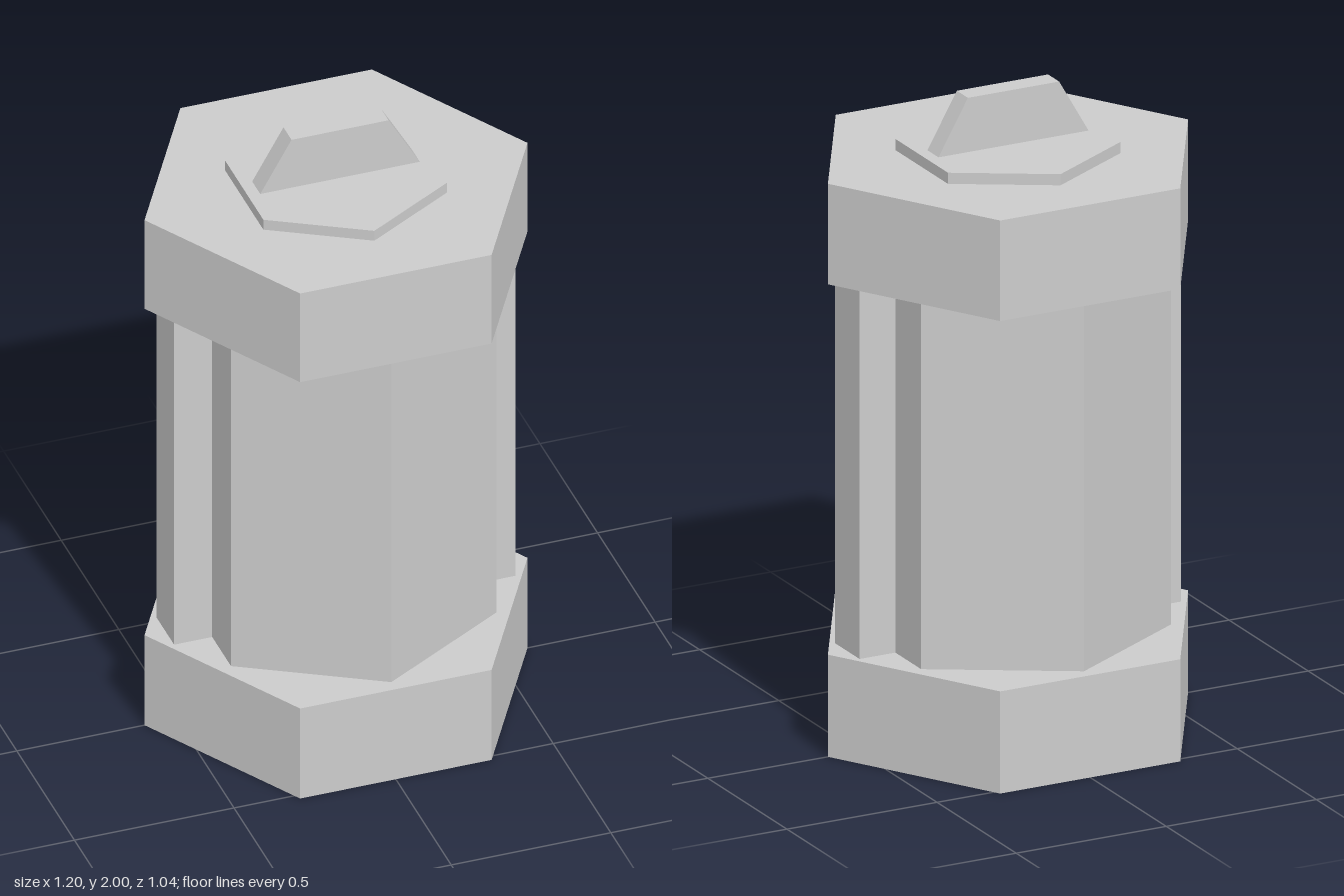
import * as THREE from 'three';

export function createModel() {
  const model = new THREE.Group();
  const material = new THREE.MeshStandardMaterial({ color: 0xcccccc, flatShading: true });

  const add = (name, geometry, x = 0, y = 0, z = 0) => {
    const mesh = new THREE.Mesh(geometry, material);
    mesh.name = name;
    mesh.position.set(x, y, z);
    model.add(mesh);
    return mesh;
  };

  // Hexagonal prism between two heights, with a corner facing +z unless turned
  const hexPrism = (name, radius, y0, y1, turn = 0) => {
    const geometry = new THREE.CylinderGeometry(radius, radius, y1 - y0, 6);
    add(name, geometry, 0, (y0 + y1) / 2).rotation.y = turn;
  };

  // End caps, corners on the x axis
  hexPrism('bottomCap', 0.6, 0, 0.32, Math.PI / 6);
  hexPrism('topCap', 0.6, 1.48, 1.795, Math.PI / 6);

  // Canister body and the raised plate on the lid
  hexPrism('body', 0.48, 0.32, 1.48);
  hexPrism('lidPlate', 0.332, 1.795, 1.83);

  // Vertical ribs on the two side faces
  for (const [name, side] of [['leftRib', 1], ['rightRib', -1]]) {
    add(name, new THREE.BoxGeometry(0.135, 1.16, 0.154), side * 0.4675, 0.9, 0);
  }

  // Tapered grip plate on top
  const grip = new THREE.Shape([
    new THREE.Vector2(-0.25, 1.83),
    new THREE.Vector2(0.25, 1.83),
    new THREE.Vector2(0.152, 2),
    new THREE.Vector2(-0.152, 2),
  ]);
  add('grip', new THREE.ExtrudeGeometry(grip, { depth: 0.07, bevelEnabled: false }), 0, 0, -0.035);

  return model;
}
